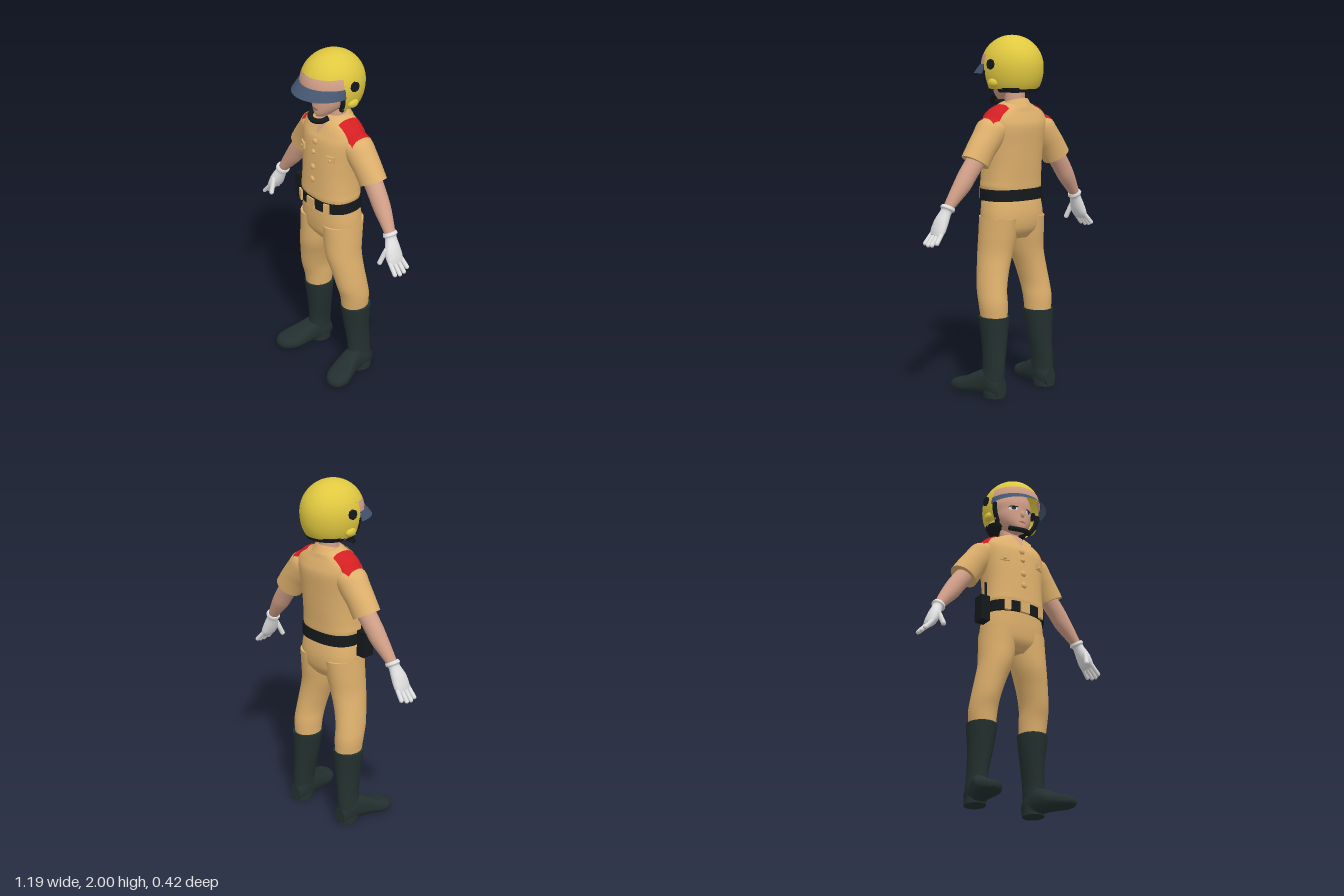
import * as THREE from 'three';

const mat = (name, color) => {
  const m = new THREE.MeshStandardMaterial({ color, side: THREE.DoubleSide });
  m.name = name;
  return m;
};
const V3 = (x, y, z) => new THREE.Vector3(x, y, z);
const X = V3(1, 0, 0), Y = V3(0, 1, 0), Z = V3(0, 0, 1);

export function createModel() {
  const model = new THREE.Group();
  model.name = 'uniformedOfficer';
  const khaki = mat('khaki', 0xdeb06c), skin = mat('skin', 0xd2a088), yellow = mat('yellow', 0xe0c840);
  const red = mat('red', 0xd41f22), boot = mat('bootGreen', 0x23302f), black = mat('black', 0x15191b);
  const blue = mat('visorBlue', 0x455670), white = mat('white', 0xe0e0e0), iris = mat('eyeBlue', 0x27364c);
  const lip = mat('lip', 0xa8665a);

  const add = (name, geo, material, pos = [0, 0, 0], rot = [0, 0, 0], scale = [1, 1, 1]) => {
    const m = new THREE.Mesh(geo, material);
    m.name = name;
    m.position.set(...pos);
    m.rotation.set(...rot);
    m.scale.set(...scale);
    model.add(m);
    return m;
  };
  const build = (pts, index) => {
    const g = new THREE.BufferGeometry();
    g.setAttribute('position', new THREE.Float32BufferAttribute(pts, 3));
    g.setIndex(index);
    g.computeVertexNormals();
    return g;
  };

  // Smooth capped body through rounded sections [x, y, z, radiusU, radiusV]; s mirrors it
  const spline = (a, b, c, d, t) =>
    b + 0.5 * t * (c - a + t * (2 * a - 5 * b + 4 * c - d + t * (3 * (b - c) + d - a)));
  const loft = (name, material, rows, U = X, V = Z, s = 1, n = 2, seg = 32, sub = 5) => {
    const at = i => rows[Math.min(Math.max(i, 0), rows.length - 1)];
    const dense = [];
    for (let i = 0; i < rows.length - 1; i++)
      for (let k = 0; k < sub; k++)
        dense.push(at(i).map((_, j) => spline(at(i - 1)[j], at(i)[j], at(i + 1)[j], at(i + 2)[j], k / sub)));
    dense.push(at(rows.length - 1));
    const first = dense[0], last = dense[dense.length - 1];
    const point = r => [...r.slice(0, 3), 0, 0];
    const rings = [point(first), first, ...dense, last, point(last)];
    const u = V3(U.x * s, U.y, U.z), pts = [], index = [];
    const pw = v => Math.sign(v) * Math.abs(v) ** (2 / n);
    for (const [x, y, z, ru, rv] of rings)
      for (let k = 0; k < seg; k++) {
        const a = k / seg * Math.PI * 2;
        const p = V3(x * s, y, z).addScaledVector(u, ru * pw(Math.cos(a))).addScaledVector(V, rv * pw(Math.sin(a)));
        pts.push(p.x, p.y, p.z);
      }
    const dir = V3((last[0] - first[0]) * s, last[1] - first[1], last[2] - first[2]);
    const flip = V.clone().cross(dir).dot(u) < 0;
    for (let i = 0; i < rings.length - 1; i++)
      for (let k = 0; k < seg; k++) {
        const a = i * seg + k, b = i * seg + (k + 1) % seg, c = a + seg, d = b + seg;
        index.push(...(flip ? [a, c, b, b, c, d] : [a, b, c, b, d, c]));
      }
    return add(name, build(pts, index), material);
  };

  // Open sheet from a rule f(u, v) -> Vector3
  const sheet = (name, material, f, nu = 16, nv = 12) => {
    const pts = [], index = [];
    for (let j = 0; j <= nv; j++) for (let i = 0; i <= nu; i++) pts.push(...f(i / nu, j / nv).toArray());
    for (let j = 0; j < nv; j++)
      for (let i = 0; i < nu; i++) {
        const a = j * (nu + 1) + i, c = a + nu + 1;
        index.push(a, a + 1, c, a + 1, c + 1, c);
      }
    return add(name, build(pts, index), material);
  };
  // Thin sheet laid on other parts, seen along dir
  const ray = new THREE.Raycaster();
  const decal = (name, material, targets, dir, lift, f) => sheet(name, material, (u, v) => {
    const p = f(u, v), from = p.clone().addScaledVector(dir, -3);
    ray.set(from, dir);
    const hit = ray.intersectObjects(targets, false)[0];
    return (hit ? hit.point : p).clone().addScaledVector(dir, -lift);
  });
  const back = Z.clone().negate(), down = Y.clone().negate();

  const capsule = (name, material, a, b, r) => {
    const d = b.clone().sub(a);
    const m = add(name, new THREE.CapsuleGeometry(r, d.length(), 5, 10), material, a.clone().lerp(b, 0.5).toArray());
    m.quaternion.setFromUnitVectors(Y, d.normalize());
  };
  const tube = (name, material, pts, r) => add(name,
    new THREE.TubeGeometry(new THREE.CatmullRomCurve3(pts.map(p => V3(...p))), 20, r, 8), material);
  const ball = new THREE.SphereGeometry(1, 20, 14);

  // Shirt and trousers
  const torso = loft('shirt', khaki, [
    [0, 1.13, -0.012, 0.172, 0.126], [0, 1.17, -0.01, 0.183, 0.132], [0, 1.21, -0.012, 0.18, 0.132],
    [0, 1.3, -0.018, 0.178, 0.133], [0, 1.4, -0.025, 0.185, 0.133], [0, 1.5, -0.035, 0.198, 0.13],
    [0, 1.55, -0.04, 0.195, 0.112], [0, 1.585, -0.042, 0.165, 0.096], [0, 1.61, -0.045, 0.115, 0.085],
    [0, 1.635, -0.048, 0.07, 0.068]], X, Z, 1, 2.4, 48);
  loft('trouserSeat', khaki, [
    [0, 1.13, -0.01, 0.17, 0.125], [0, 1.07, -0.016, 0.182, 0.132], [0, 1, -0.02, 0.19, 0.134],
    [0, 0.93, -0.02, 0.185, 0.122], [0, 0.88, -0.02, 0.12, 0.085]], X, Z, 1, 2.3, 40);

  const armU = V3(0.87, 0.49, 0);
  const sleeves = [];
  for (const s of [1, -1]) {
    const side = s > 0 ? 'left' : 'right';
    // Arm
    sleeves.push(loft(side + 'Sleeve', khaki, [
      [0.11, 1.53, -0.05, 0.05, 0.06], [0.16, 1.5, -0.05, 0.085, 0.085], [0.21, 1.44, -0.055, 0.085, 0.082],
      [0.255, 1.385, -0.058, 0.082, 0.076], [0.298, 1.32, -0.06, 0.083, 0.073]], armU, Z, s));
    loft(side + 'Forearm', skin, [
      [0.285, 1.335, -0.06, 0.054, 0.052], [0.345, 1.255, -0.055, 0.052, 0.05], [0.385, 1.195, -0.052, 0.049, 0.047],
      [0.43, 1.135, -0.045, 0.038, 0.038], [0.468, 1.082, -0.038, 0.027, 0.03]], armU, Z, s);
    // Glove
    loft(side + 'Glove', white, [
      [0.463, 1.092, -0.037, 0.036, 0.038], [0.471, 1.078, -0.036, 0.04, 0.042], [0.478, 1.064, -0.033, 0.029, 0.034],
      [0.503, 1.01, -0.024, 0.033, 0.048], [0.524, 0.965, -0.022, 0.029, 0.053], [0.54, 0.938, -0.022, 0.018, 0.047]],
      armU, Z, s);
    capsule(side + 'Thumb', white, V3(0.495 * s, 1.01, 0.015), V3(0.48 * s, 0.938, 0.044), 0.014);
    for (let i = 0; i < 4; i++) {
      const z = 0.018 - i * 0.027, reach = [0.9, 1, 0.95, 0.75][i];
      capsule(side + 'Finger', white, V3(0.533 * s, 0.95, z),
        V3((0.533 + 0.05 * reach) * s, 0.95 - 0.058 * reach, z * 1.15), 0.0125);
    }
    // Leg and boot
    loft(side + 'TrouserLeg', khaki, [
      [0.095, 1, -0.02, 0.095, 0.13], [0.101, 0.9, -0.015, 0.098, 0.12], [0.115, 0.8, -0.01, 0.092, 0.11],
      [0.14, 0.7, -0.02, 0.083, 0.1], [0.16, 0.6, -0.035, 0.077, 0.095], [0.165, 0.52, -0.052, 0.077, 0.088],
      [0.163, 0.43, -0.058, 0.07, 0.08]], X, Z, s);
    loft(side + 'BootShaft', boot, [
      [0.166, 0.452, -0.06, 0.084, 0.089], [0.166, 0.43, -0.06, 0.083, 0.088], [0.17, 0.3, -0.067, 0.066, 0.078],
      [0.18, 0.18, -0.075, 0.054, 0.074], [0.185, 0.1, -0.075, 0.054, 0.074], [0.186, 0.02, -0.08, 0.054, 0.068]], X, Z, s);
    loft(side + 'BootFoot', boot, [
      [0.185, 0.05, -0.148, 0.035, 0.045], [0.185, 0.07, -0.1, 0.055, 0.066], [0.19, 0.08, -0.04, 0.056, 0.074],
      [0.205, 0.066, 0.03, 0.066, 0.06], [0.225, 0.045, 0.1, 0.078, 0.043], [0.235, 0.038, 0.15, 0.068, 0.036],
      [0.24, 0.034, 0.183, 0.042, 0.025], [0.241, 0.033, 0.196, 0.012, 0.008]], X, Y, s, 2.5);
    add(side + 'BootHeel', new THREE.CylinderGeometry(1, 1, 0.03, 24), boot, [0.187 * s, 0.015, -0.085], [0, 0, 0],
      [0.058, 1, 0.066]);
    // Pocket flap with its button
    add(side + 'PocketFlap', new THREE.BoxGeometry(0.052, 0.036, 0.014), khaki, [0.115 * s, 1.43, 0.088], [0, 0.42 * s, 0]);
    add(side + 'PocketButton', ball, khaki, [0.118 * s, 1.425, 0.096], [0, 0.42 * s, 0], [0.009, 0.009, 0.006]);
    add(side + 'BeltLoop', new THREE.BoxGeometry(0.036, 0.062, 0.014), khaki, [0.11 * s, 1.125, 0.112], [0, 0.4 * s, 0]);
  }

  // Shoulder boards, open neck and collar
  const shirt = [torso, ...sleeves];
  for (const s of [1, -1]) {
    decal('shoulderBoard', red, shirt, down, 0.006, (u, v) => V3((0.1 + 0.115 * u) * s, 1.57, -0.115 + 0.135 * v));
    decal('lapel', khaki, [torso], back, 0.011, (u, v) =>
      V3((0.045 * v + u * 0.045 * Math.min(1, 3 * v)) * s, 1.53 + 0.1 * v - u * 0.035 * Math.min(1, 4 * v), 0.06));
  }
  decal('openNeck', skin, [torso], back, 0.006, (u, v) => V3((u - 0.5) * 0.092 * v, 1.53 + 0.1 * v, 0.06));
  sheet('collar', khaki, (u, v) => {
    const a = 0.75 + u * (Math.PI * 2 - 1.5), r = 0.07 + 0.024 * v;
    return V3(r * Math.sin(a), 1.638 - 0.02 * Math.cos(a) - 0.045 * v, -0.052 + r * 0.95 * Math.cos(a));
  }, 32, 3);
  [[1.495, 0.096, 0.018], [1.435, 0.106, 0.014], [1.345, 0.112, 0.018], [1.27, 0.116, 0.018]].forEach(([y, z, r]) =>
    add('shirtButton', ball, khaki, [-0.005, y, z], [0, 0, 0], [r, r, 0.011]));

  // Belt, buckle and radio
  loft('belt', black, [[0, 1.095, -0.013, 0.187, 0.138], [0, 1.158, -0.011, 0.186, 0.137]], X, Z, 1, 2.4, 48);
  add('beltBuckle', new THREE.BoxGeometry(0.06, 0.062, 0.016), khaki, [-0.005, 1.124, 0.126]);
  add('radio', new THREE.BoxGeometry(0.056, 0.15, 0.07), black, [-0.216, 1.105, 0.015]);
  add('radioAntenna', new THREE.CylinderGeometry(0.006, 0.008, 0.11, 10), black, [-0.196, 1.225, 0.015]);

  // Head
  add('neck', new THREE.CylinderGeometry(0.054, 0.06, 0.17, 24), skin, [0, 1.635, -0.045]);
  const head = loft('head', skin, [
    [0, 1.645, 0.055, 0.025, 0.03], [0, 1.665, 0.035, 0.052, 0.06], [0, 1.7, 0.01, 0.085, 0.087],
    [0, 1.74, -0.005, 0.105, 0.1], [0, 1.78, -0.015, 0.112, 0.108], [0, 1.83, -0.02, 0.118, 0.113],
    [0, 1.89, -0.02, 0.1, 0.1]]);
  add('nose', ball, skin, [0, 1.745, 0.094], [-0.25, 0, 0], [0.012, 0.024, 0.017]);
  const disc = (x, y, rx, ry) => (u, v) =>
    V3(x + rx * v * Math.cos(u * Math.PI * 2), y + ry * v * Math.sin(u * Math.PI * 2), 0.08);
  decal('mouth', lip, [head], back, 0.003, disc(0, 1.692, 0.024, 0.006));
  for (const x of [0.052, -0.052]) {
    decal('eyeWhite', white, [head], back, 0.002, disc(x, 1.777, 0.024, 0.012));
    decal('iris', iris, [head], back, 0.004, disc(x, 1.778, 0.012, 0.012));
    decal('eyelid', black, [head], back, 0.005, disc(x, 1.789, 0.026, 0.004));
  }

  // Helmet: shell point at azimuth a (0 = front) and polar angle t
  const shell = (a, t, out = 0) => {
    const r = t < Math.PI / 2 ? Math.sin(t) : Math.sin(t) ** 0.6;
    return V3((0.166 * r + out) * Math.sin(a), 1.825 + 0.175 * Math.cos(t), -0.022 + (0.184 * r + out) * Math.cos(a));
  };
  const edge = 1.286, brow = 1.159, rim = 1.497, hem = 2.3;
  sheet('helmetCrown', yellow, (u, v) => shell(u * Math.PI * 2, v * brow), 48, 16);
  sheet('helmetBack', yellow, (u, v) => shell(edge + u * (Math.PI * 2 - 2 * edge), brow + v * (hem - brow)), 36, 16);
  sheet('helmetBrowBand', skin, (u, v) => shell((u * 2 - 1) * edge, brow + v * (rim - brow)), 28, 6);
  sheet('visor', blue, (u, v) => {
    const a = (u * 2 - 1) * (edge + 0.03);
    const p = shell(a, rim - 0.02, 0.002 + 0.05 * v * Math.max(0, Math.cos(a)));
    p.y -= 0.05 * v ** 1.15;
    return p;
  }, 32, 5);
  loft('helmetLining', black, [[0, 1.69, -0.072, 0.115, 0.095], [0, 1.715, -0.075, 0.132, 0.1]]);
  for (const s of [1, -1]) {
    add('visorScrew', new THREE.CylinderGeometry(0.028, 0.028, 0.016, 8), black, [0.165 * s, 1.842, -0.035], [0, 0, Math.PI / 2]);
    add('earPad', ball, yellow, [0.15 * s, 1.742, -0.035], [0, 0, 0], [0.022, 0.026, 0.036]);
    tube('sideStrap', black, [[0.15 * s, 1.81, 0.028], [0.14 * s, 1.75, 0.022], [0.115 * s, 1.7, 0.01]], 0.014);
  }
  tube('chinStrap', black, [[-0.066, 1.652, 0.06], [-0.045, 1.635, 0.095], [0, 1.63, 0.112],
    [0.045, 1.635, 0.095], [0.066, 1.652, 0.06]], 0.015);

  return model;
}
